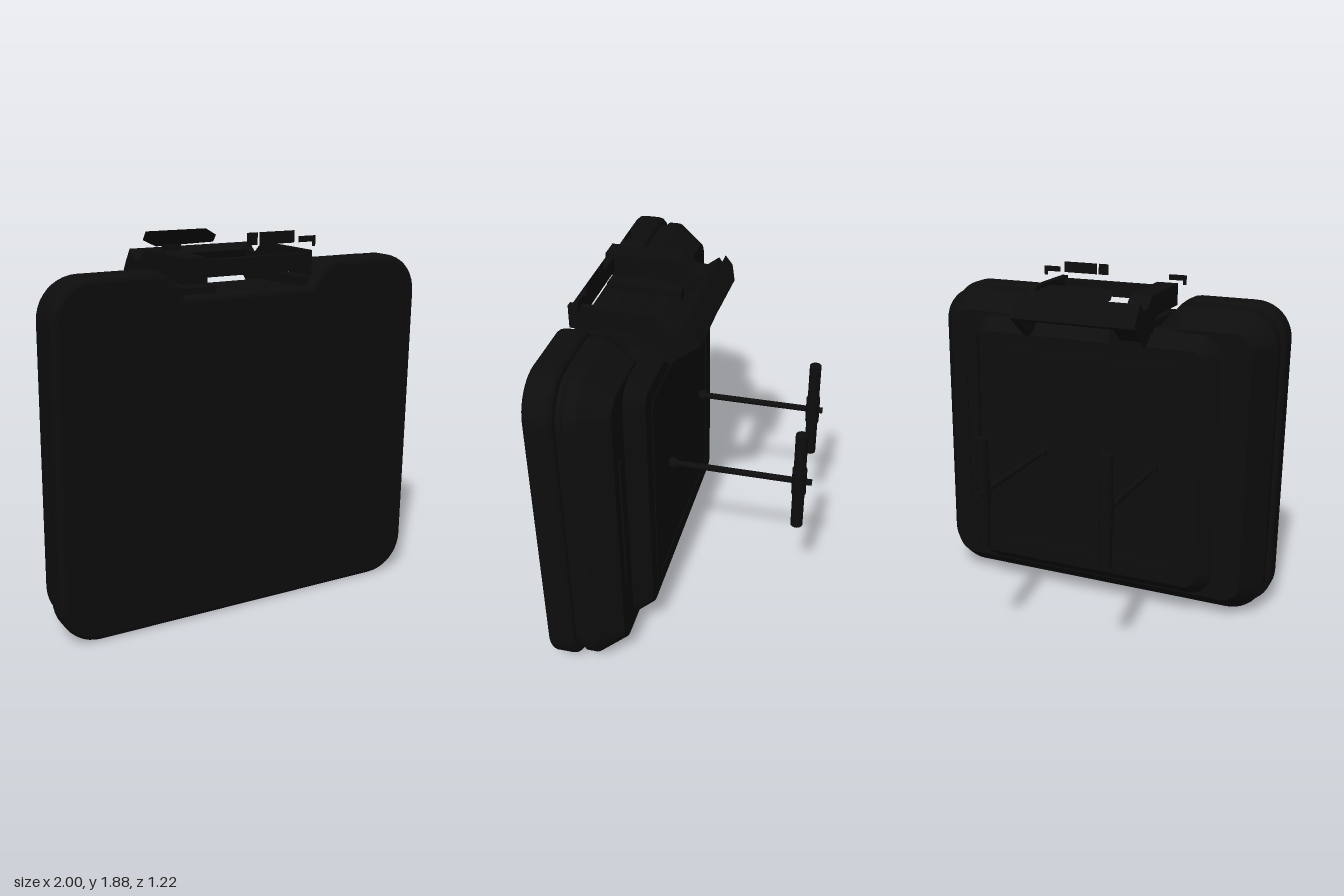
import * as THREE from 'three';

const black = new THREE.MeshStandardMaterial({ color: 0x0d0d0d, side: THREE.DoubleSide });
black.name = 'matte black';

// Case outline with rounded corners and a handle notch in the top edge
function caseOutline(inset) {
  const w = 1 - inset, b = inset, t = 1.74 - inset, f = 1.62 - inset * 0.4, r = 0.2;
  const s = new THREE.Shape();
  s.moveTo(-w + r, b);
  s.lineTo(w - r, b);
  s.absarc(w - r, b + r, r, -Math.PI / 2, 0);
  s.lineTo(w, t - r);
  s.absarc(w - r, t - r, r, 0, Math.PI / 2);
  s.lineTo(0.5, t);
  s.quadraticCurveTo(0.43, t, 0.35, f);
  s.lineTo(-0.35, f);
  s.quadraticCurveTo(-0.42, t, -0.5, t);
  s.lineTo(-w + r, t);
  s.absarc(-w + r, t - r, r, Math.PI / 2, Math.PI);
  s.lineTo(-w, b + r);
  s.absarc(-w + r, b + r, r, Math.PI, Math.PI * 1.5);
  return s;
}

function roundRect(x0, x1, y0, y1, r) {
  const s = new THREE.Shape();
  s.absarc(x1 - r, y0 + r, r, -Math.PI / 2, 0);
  s.absarc(x1 - r, y1 - r, r, 0, Math.PI / 2);
  s.absarc(x0 + r, y1 - r, r, Math.PI / 2, Math.PI);
  s.absarc(x0 + r, y0 + r, r, Math.PI, Math.PI * 1.5);
  s.closePath();
  return s;
}

// Slab between two depths whose edges are bevelled inward
function slab(name, shape, z0, z1, thick = 0, size = 0, segments = 1) {
  const g = new THREE.ExtrudeGeometry(shape, {
    depth: z1 - z0 - 2 * thick, curveSegments: 5, bevelEnabled: thick > 0,
    bevelThickness: thick, bevelSize: size, bevelOffset: -size, bevelSegments: segments,
  });
  g.translate(0, 0, z0 + thick);
  return part(name, g);
}

function part(name, geometry, x = 0, y = 0, z = 0) {
  const m = new THREE.Mesh(geometry, black);
  m.name = name;
  m.position.set(x, y, z);
  return m;
}

const box = (name, w, h, d, x, y, z) => part(name, new THREE.BoxGeometry(w, h, d), x, y, z);

// Side profile in (z, y) extruded across x
function crossPiece(name, points, x0, x1) {
  const s = new THREE.Shape(points.map(([z, y]) => new THREE.Vector2(-z, y)));
  const g = new THREE.ExtrudeGeometry(s, { depth: x1 - x0, bevelEnabled: false });
  g.rotateY(Math.PI / 2);
  g.translate(x0, 0, 0);
  return part(name, g);
}

// Rod standing out of the back with a vertical crossbar at its end
function rodWithCrossbar(x, end, barZ) {
  const group = new THREE.Group();
  group.name = 'rodAssembly';
  const y = 0.87;
  const rod = (name, r, z0, z1) => {
    const g = new THREE.CylinderGeometry(r, r, z1 - z0, 14);
    g.rotateX(Math.PI / 2);
    return part(name, g, x, y, (z0 + z1) / 2);
  };
  group.add(
    rod('rod', 0.017, end, 0.15),
    rod('rodCollar', 0.028, 0.1, 0.15),
    part('crossbar', new THREE.CylinderGeometry(0.032, 0.032, 0.58, 14), x, y, barZ),
    part('crossbarHub', new THREE.CylinderGeometry(0.038, 0.038, 0.155, 14), x, y, barZ),
  );
  return group;
}

export function createModel() {
  const model = new THREE.Group();
  model.name = 'case';

  // Two shells with a seam between them, and the raised back panel
  model.add(
    slab('frontShell', caseOutline(0), 0.46, 0.61, 0.035, 0.03, 3),
    slab('seam', caseOutline(0.03), 0.4, 0.5),
    slab('backShell', caseOutline(0.02), 0.23, 0.55, 0.13, 0.1),
    slab('seamLip', caseOutline(0.018), 0.37, 0.42),
    slab('backPanel', roundRect(-0.73, 0.73, 0.12, 1.61, 0.14), 0.14, 0.4, 0.1, 0.08),
  );

  // Raised border on the back panel and ribs beside it
  const border = roundRect(-0.56, 0.56, 0.28, 1.44, 0.05);
  border.holes.push(roundRect(-0.53, 0.53, 0.31, 1.41, 0.04));
  model.add(slab('panelBorder', border, 0.135, 0.142));
  for (const side of [-1, 1]) model.add(box('sideRib', 0.03, 0.75, 0.012, side * 0.8, 0.88, 0.228));

  // Handle: bent arms, front bar, tilted grip and grip block
  const arm = [[0.6, 1.79], [0.2, 1.79], [0.13, 1.73], [0.08, 1.73], [0.02, 1.775], [-0.025, 1.71],
    [-0.055, 1.66], [0.105, 1.535], [0.155, 1.56], [0.23, 1.65], [0.28, 1.67], [0.6, 1.67]];
  const grip = [[0.06, 1.74], [0.02, 1.775], [-0.055, 1.66], [-0.03, 1.645], [0.03, 1.655]];
  model.add(
    crossPiece('handleArmRight', arm, -0.35, -0.23),
    crossPiece('handleArmLeft', arm, 0.315, 0.35),
    crossPiece('handleGrip', grip, -0.35, 0.35),
    box('handleFrontBar', 0.7, 0.08, 0.04, 0, 1.735, 0.575),
    box('gripBlock', 0.18, 0.08, 0.09, -0.26, 1.585, 0.1),
    box('handleFootRight', 0.18, 0.06, 0.4, -0.26, 1.62, 0.38),
    box('handleFootLeft', 0.05, 0.06, 0.4, 0.325, 1.63, 0.38),
  );

  // Thin plates above the handle
  const plate = new THREE.Shape([[-0.23, 0.05], [0.12, 0.05], [0.2, 0], [0.2, -0.05], [-0.14, -0.06], [-0.23, -0.01]]
    .map(([x, y]) => new THREE.Vector2(x, y)));
  const tilted = part('tiltedPlate', new THREE.ShapeGeometry(plate), 0, 1.81, -0.07);
  tilted.rotation.x = 0.65;
  model.add(tilted);
  const flat = (name, w, h, x, y) => part(name, new THREE.PlaneGeometry(w, h), x, y, 0.52);
  model.add(flat('plateStrip', 0.2, 0.06, 0.2, 1.85), flat('plateStripEnd', 0.06, 0.06, 0.06, 1.85));
  for (const side of [-1, 1]) {
    model.add(flat('plateTab', 0.1, 0.03, side * 0.375, 1.835), flat('plateTabHook', 0.02, 0.025, side * 0.415, 1.81));
  }

  // Rods on the back
  model.add(rodWithCrossbar(-0.4, -0.57, -0.515), rodWithCrossbar(0.26, -0.61, -0.545));
  return model;
}
